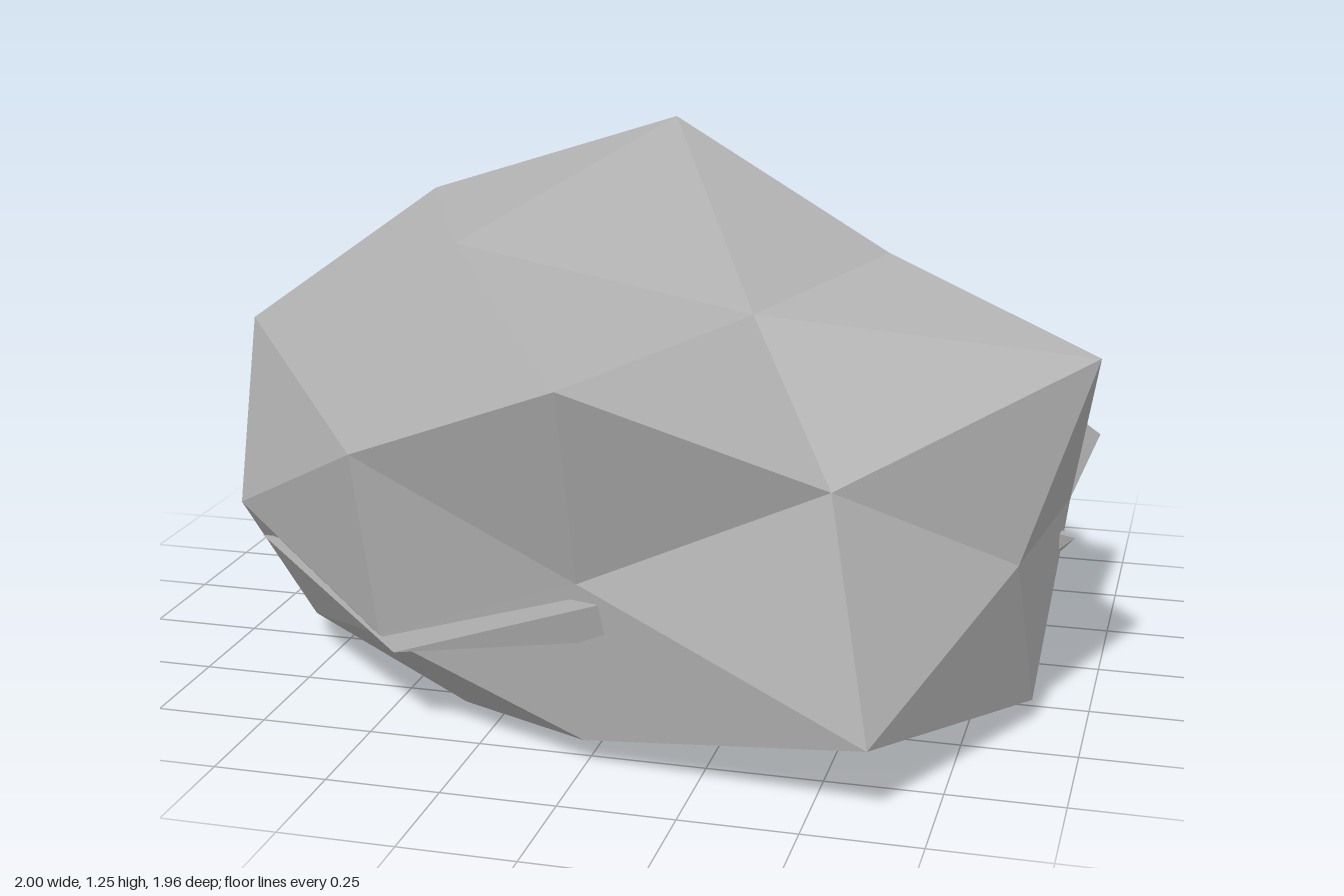
import * as THREE from 'three';
import { ConvexGeometry } from 'three/addons/geometries/ConvexGeometry.js';

// Radius of the boulder along each icosphere direction (direction in tenths).
const radii = {
  // crown
  '0,10,0': 1.226, '5,9,0': 0.94, '-5,9,0': 1.11,
  '3,8,5': 0.874, '3,8,-5': 0.89, '-3,8,5': 1.14, '-3,8,-5': 1.13,
  // shoulders
  '0,5,9': 1.235, '0,5,-9': 0.953,
  '8,5,3': 1.235, '8,5,-3': 0.84, '-8,5,3': 1.13, '-8,5,-3': 0.83,
  '5,3,8': 1.02, '5,3,-8': 0.87, '-5,3,8': 1.03, '-5,3,-8': 1.05,
  // waist
  '10,0,0': 0.92, '-10,0,0': 1.0, '0,0,10': 0.905, '0,0,-10': 0.9,
  '9,0,5': 1.01, '9,0,-5': 1.11, '-9,0,5': 1.04, '-9,0,-5': 1.02,
  // skirt
  '5,-3,8': 1.24, '5,-3,-8': 0.92, '-5,-3,8': 0.96, '-5,-3,-8': 1.19,
  '8,-5,3': 1.09, '8,-5,-3': 0.98, '-8,-5,3': 1.0, '-8,-5,-3': 1.0,
  '0,-5,9': 1.01, '0,-5,-9': 1.08,
  // flattened base
  '5,-9,0': 0.95, '-5,-9,0': 1.05, '-3,-8,5': 1.14, '3,-8,5': 1.0,
};

// Faceted boulder: squashed icosphere with a flat base.
function boulderGeometry() {
  const geometry = new THREE.IcosahedronGeometry(1, 1);
  const pos = geometry.attributes.position;
  const v = new THREE.Vector3();
  for (let i = 0; i < pos.count; i++) {
    v.fromBufferAttribute(pos, i).normalize();
    const key = v.toArray().map((n) => Math.round(n * 10) + 0).join(',');
    const r = radii[key] ?? 1;
    pos.setXYZ(i, r * v.x, Math.max(0, 0.42 + 0.68 * r * v.y), 0.03 + 0.9 * r * v.z);
  }
  geometry.computeVertexNormals();
  return geometry;
}

const hull = (points) => new ConvexGeometry(points.map((p) => new THREE.Vector3(...p)));

export function createModel() {
  const group = new THREE.Group();
  const stone = new THREE.MeshStandardMaterial({ color: 0xb0b0b0, flatShading: true });
  stone.name = 'grey stone';

  const add = (name, geometry) => {
    const mesh = new THREE.Mesh(geometry, stone);
    mesh.name = name;
    group.add(mesh);
  };

  add('boulder', boulderGeometry());

  // Smaller stone embedded in the rear corner: overhanging top on a narrower foot
  add('rearStoneTop', hull([
    [0.43, 0.7, -0.69], [0.57, 0.7, -0.3], [0.79, 0.54, -0.545],
    [0.2, 0.565, -0.97], [0.855, 0.285, -0.71], [0.53, 0.3, -0.87],
    [-0.2, 0.41, -0.93], [-0.31, 0.39, -0.83], [0.08, 0.24, -0.96],
    [0.83, 0.01, -0.555], [0.86, 0.25, -0.37], [0, 0.57, -0.6], [0, 0.3, -0.6],
  ]));
  add('rearStoneFoot', hull([
    [0.08, 0.24, -0.96], [0.53, 0.3, -0.87], [0.855, 0.285, -0.71],
    [0.17, 0, -0.98], [0.66, 0, -0.74], [0.83, 0.01, -0.555],
    [-0.07, 0, -0.77], [-0.06, 0.28, -0.75], [0, 0, -0.5],
  ]));

  // Thin ledge breaking through the front
  add('frontLedge', hull([
    [-0.82, 0.36, 0.56], [-0.44, 0.19, 0.75], [0.05, 0.385, 0.86],
    [0.06, 0.3, 0.84], [-0.4, 0.25, 0.3], [-0.4, 0.12, 0.5],
  ]));

  // Small chips poking out of the surface
  add('sideChip', hull([
    [0.94, 0.35, 0.1], [0.86, 0.39, 0.17], [0.86, 0.3, 0.17],
    [0.87, 0.26, 0.05], [0.87, 0.39, 0.1],
  ]));
  add('topChip', hull([
    [0.38, 0.73, -0.46], [0.36, 0.68, -0.5], [0.41, 0.68, -0.49], [0.37, 0.68, -0.43],
  ]));

  return group;
}
